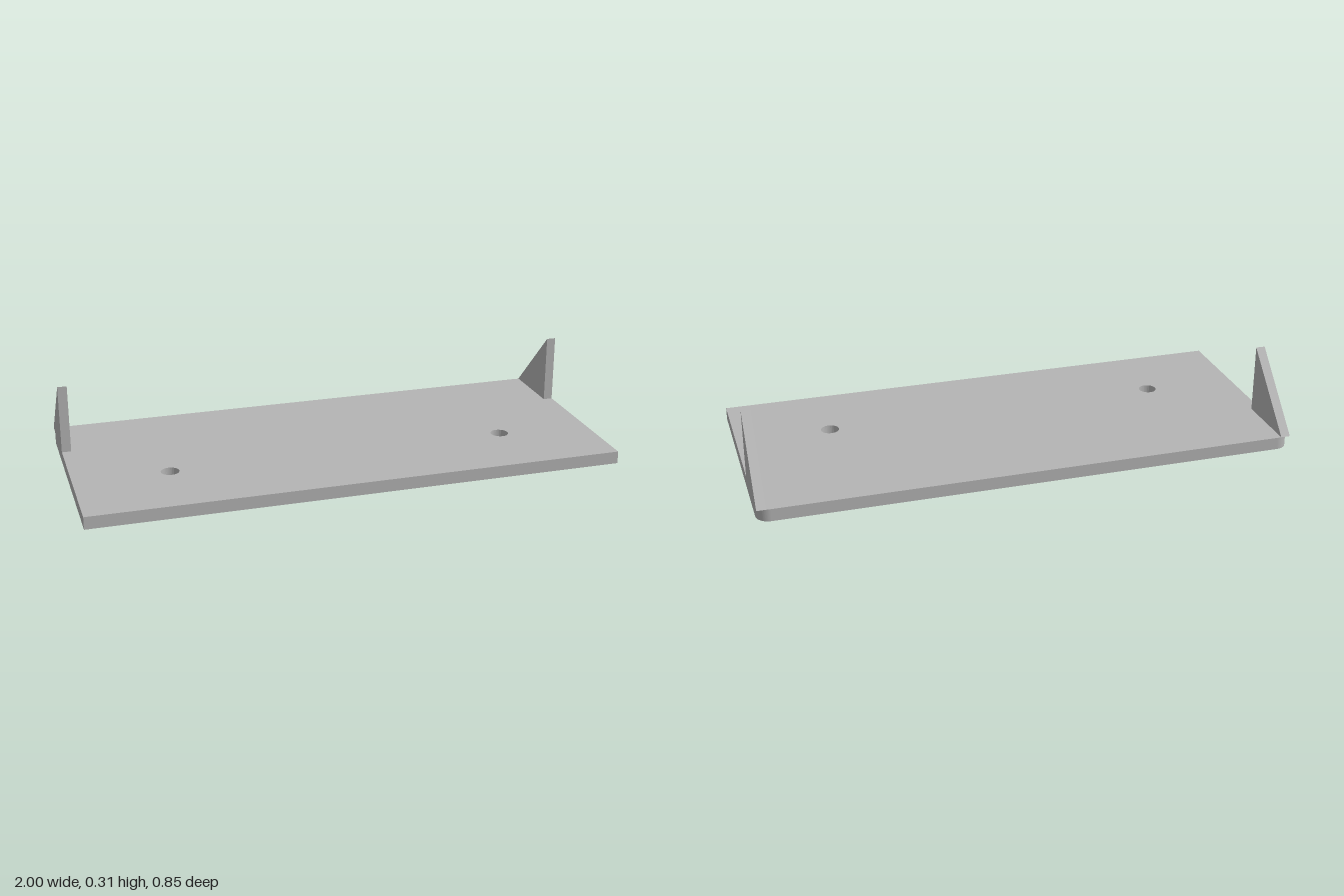
import * as THREE from 'three';

const W = 1, D = 0.425, T = 0.047;       // half width, half depth, plate thickness
const CORNER = 0.05, HOLE = 0.034;
const FIN_T = 0.035, FIN_TOP = 0.307, FIN_FRONT = 0.166;

// Base plate: square front corners, rounded back corners, two screw holes (shape y = -z)
function plateGeometry() {
  const s = new THREE.Shape();
  s.moveTo(-W, -D);
  s.lineTo(W, -D);
  s.lineTo(W, D - CORNER);
  s.absarc(W - CORNER, D - CORNER, CORNER, 0, Math.PI / 2, false);
  s.lineTo(-W + CORNER, D);
  s.absarc(-W + CORNER, D - CORNER, CORNER, Math.PI / 2, Math.PI, false);
  s.lineTo(-W, -D);
  for (const side of [-1, 1]) {
    const hole = new THREE.Path();
    hole.absarc(side * 0.645, -0.125, HOLE, 0, Math.PI * 2, true);
    s.holes.push(hole);
  }
  return new THREE.ExtrudeGeometry(s, { depth: T, bevelEnabled: false, curveSegments: 16 })
    .rotateX(-Math.PI / 2);
}

// Triangular end fin, upright at the front and sloping to the back edge (shape x = -z)
function finGeometry() {
  const s = new THREE.Shape();
  s.moveTo(FIN_FRONT, T);
  s.lineTo(D, T);
  s.lineTo(FIN_FRONT, FIN_TOP);
  s.closePath();
  return new THREE.ExtrudeGeometry(s, { depth: FIN_T, bevelEnabled: false })
    .rotateY(Math.PI / 2);
}

export function createModel() {
  const group = new THREE.Group();
  group.name = 'shelfBracket';
  const grey = new THREE.MeshStandardMaterial({ color: 0xb4b4b4 });
  grey.name = 'grey';

  const plate = new THREE.Mesh(plateGeometry(), grey);
  plate.name = 'basePlate';
  group.add(plate);

  const finGeo = finGeometry();
  for (const [name, x] of [['rightFin', -W], ['leftFin', W - FIN_T]]) {
    const fin = new THREE.Mesh(finGeo, grey);
    fin.name = name;
    fin.position.x = x;
    group.add(fin);
  }
  return group;
}
